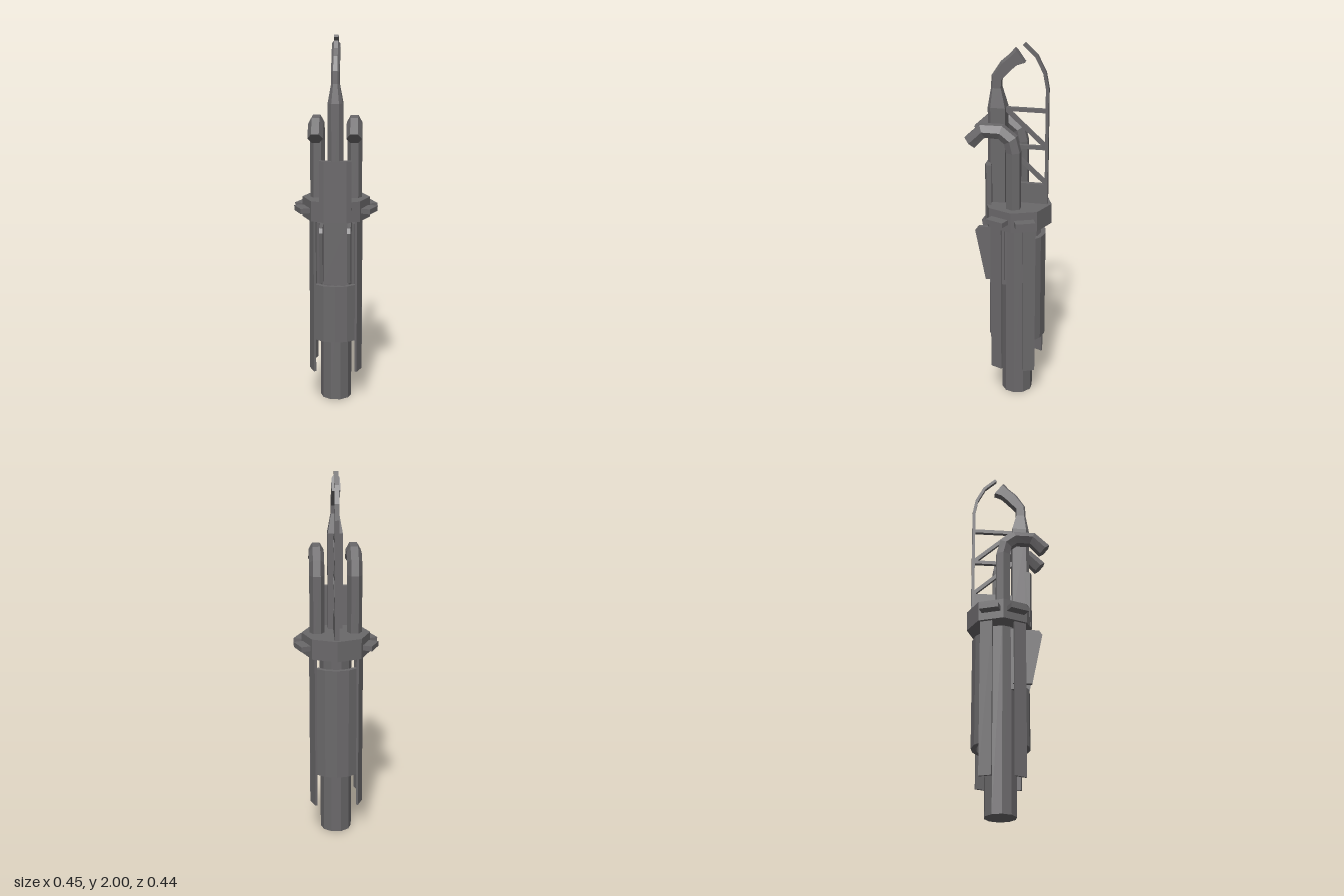
import * as THREE from 'three';

const metal = new THREE.MeshStandardMaterial({ color: 0x6a686a, flatShading: true });
metal.name = 'dark grey metal';
const AXIS_Z = -0.037; // centre line of the column

export function createModel() {
  const model = new THREE.Group();
  const add = (name, geometry) => {
    const mesh = new THREE.Mesh(geometry, metal);
    mesh.name = name;
    model.add(mesh);
    return mesh;
  };
  const box = (name, w, h, d, x, y, z) => {
    const mesh = add(name, new THREE.BoxGeometry(w, h, d));
    mesh.position.set(x, y, z);
    return mesh;
  };
  // upright prism from [x, z] corners
  const prism = (name, corners, y0, y1) => {
    const shape = new THREE.Shape(corners.map(([x, z]) => new THREE.Vector2(x, -z)));
    const g = new THREE.ExtrudeGeometry(shape, { depth: y1 - y0, bevelEnabled: false });
    return add(name, g.rotateX(-Math.PI / 2).translate(0, y0, 0));
  };
  // side-view plate from [z, y] corners, centred on x
  const plate = (name, corners, x, thick) => {
    const shape = new THREE.Shape(corners.map(([z, y]) => new THREE.Vector2(-z, y)));
    const g = new THREE.ExtrudeGeometry(shape, { depth: thick, bevelEnabled: false });
    return add(name, g.translate(0, 0, -thick / 2).rotateY(Math.PI / 2).translate(x, 0, 0));
  };
  // closed sweep along [z, y, halfWidthX, halfDepth] stations with a unit profile
  const sweep = (name, x, stations, profile) => {
    const n = profile.length, pos = [], idx = [];
    stations.forEach(([z, y, rx, rd], i) => {
      const a = stations[Math.max(i - 1, 0)], b = stations[Math.min(i + 1, stations.length - 1)];
      const len = Math.hypot(b[0] - a[0], b[1] - a[1]);
      const tz = (b[0] - a[0]) / len, ty = (b[1] - a[1]) / len;
      profile.forEach(([u, v]) => pos.push(x + u * rx, y - tz * v * rd, z + ty * v * rd));
    });
    for (let i = 0; i < stations.length - 1; i++) for (let j = 0; j < n; j++) {
      const a = i * n + j, b = i * n + (j + 1) % n;
      idx.push(a, b, b + n, a, b + n, a + n);
    }
    const last = (stations.length - 1) * n;
    for (let j = 1; j < n - 1; j++) {
      idx.push(0, j + 1, j, last, last + j, last + j + 1);
    }
    const g = new THREE.BufferGeometry();
    g.setAttribute('position', new THREE.Float32BufferAttribute(pos, 3));
    g.setIndex(idx);
    const flat = g.toNonIndexed();
    flat.computeVertexNormals();
    return add(name, flat);
  };
  // curved shell around the column; facing is 1 for front, -1 for back
  const shell = (name, facing, y0, y1) => {
    const outer = [], inner = [];
    for (let i = 0; i <= 4; i++) {
      const a = (i / 4 - 0.5) * 1.68;
      outer.push([Math.sin(a) * 0.155, AXIS_Z + facing * Math.cos(a) * 0.155]);
      inner.unshift([Math.sin(a) * 0.13, AXIS_Z + facing * Math.cos(a) * 0.13]);
    }
    prism(name, [...outer, ...inner], y0, y1);
  };

  // central column
  add('column', new THREE.CylinderGeometry(0.085, 0.085, 1.1, 10).rotateY(Math.PI / 10))
    .position.set(0, 0.55, AXIS_Z);

  // collar and its four tabs
  prism('collar', [[0, -0.222], [0.13, -0.17], [0.183, -0.04], [0.13, 0.09], [0.06, 0.122],
    [-0.06, 0.122], [-0.13, 0.09], [-0.183, -0.04], [-0.13, -0.17]], 1.03, 1.14);
  for (const side of [0, Math.PI]) for (const turn of [-1, 1]) {
    const a = side + turn * Math.PI / 8;
    box('collarTab', 0.09, 0.027, 0.105, Math.cos(a) * 0.177, 1.085, -0.039 - Math.sin(a) * 0.177)
      .rotation.y = a;
  }

  // front guard plate above the collar
  prism('guardPlate', [[-0.085, 0.113], [-0.06, 0.125], [0.06, 0.125], [0.085, 0.113],
    [0.085, 0.085], [0.06, 0.092], [-0.06, 0.092], [-0.085, 0.085]], 1.03, 1.36);

  // curved cover shells
  shell('frontShell', 1, 0.36, 0.675);
  shell('rearShell', -1, 0.36, 0.97);

  // four long rails hanging from the collar
  for (const sx of [-1, 1]) for (const sz of [-1, 1]) {
    box('longRail', 0.012, 0.86, 0.068, sx * 0.124, 0.61, AXIS_Z + sz * 0.089)
      .rotation.y = -sx * sz * Math.PI / 8;
  }

  // paired wedge fins and the face between them
  for (const sx of [-1, 1]) {
    plate('wedgeFin', [[0.02, 0.7], [0.122, 0.7], [0.178, 0.985], [0.16, 1.01], [0.02, 1.01]],
      sx * 0.074, 0.018);
  }
  box('finBacking', 0.14, 0.35, 0.05, 0, 0.845, 0.03);

  // main mast with tapered neck and bent, flared head
  const mastProfile = [[-1, -1], [-1, 0.62], [-0.5, 1], [0.5, 1], [1, 0.62], [1, -1]];
  sweep('mast', 0, [[0.07, 1.1, 0.04, 0.048], [0.07, 1.66, 0.04, 0.048],
    [0.075, 1.76, 0.022, 0.027], [0.073, 1.815, 0.022, 0.028], [0.025, 1.877, 0.022, 0.034],
    [-0.015, 1.912, 0.022, 0.033], [-0.05, 1.937, 0.022, 0.045]], mastProfile);

  // two hooked pipes
  const hexagon = [[-1, 0], [-0.5, 0.87], [0.5, 0.87], [1, 0], [0.5, -0.87], [-0.5, -0.87]];
  const hook = [[AXIS_Z, 1.1], [AXIS_Z, 1.45], [-0.022, 1.515], [0.03, 1.556], [0.125, 1.556],
    [0.193, 1.49]].map(([z, y]) => [z, y, 0.04, 0.042]);
  for (const sx of [-1, 1]) sweep('hookedPipe', sx * 0.1, hook, hexagon);

  // rear rail with curved tip
  const square = [[-1, -1], [-1, 1], [1, 1], [1, -1]];
  sweep('rearRail', 0, [[-0.193, 1.1], [-0.193, 1.77], [-0.178, 1.85], [-0.135, 1.935],
    [-0.07, 1.995]].map(([z, y]) => [z, y, 0.012, 0.008]), square);

  // lattice joining rail and mast
  const struts = [[0.03, 1.65, -0.193, 1.65], [0.03, 1.45, -0.193, 1.45],
    [0.02, 1.645, -0.19, 1.455], [0.02, 1.445, -0.19, 1.255]];
  for (const [z0, y0, z1, y1] of struts) {
    sweep('latticeStrut', 0, [[z0, y0, 0.011, 0.01], [z1, y1, 0.011, 0.01]], square);
  }
  box('latticeBase', 0.024, 0.13, 0.225, 0, 1.185, -0.088);

  return model;
}
